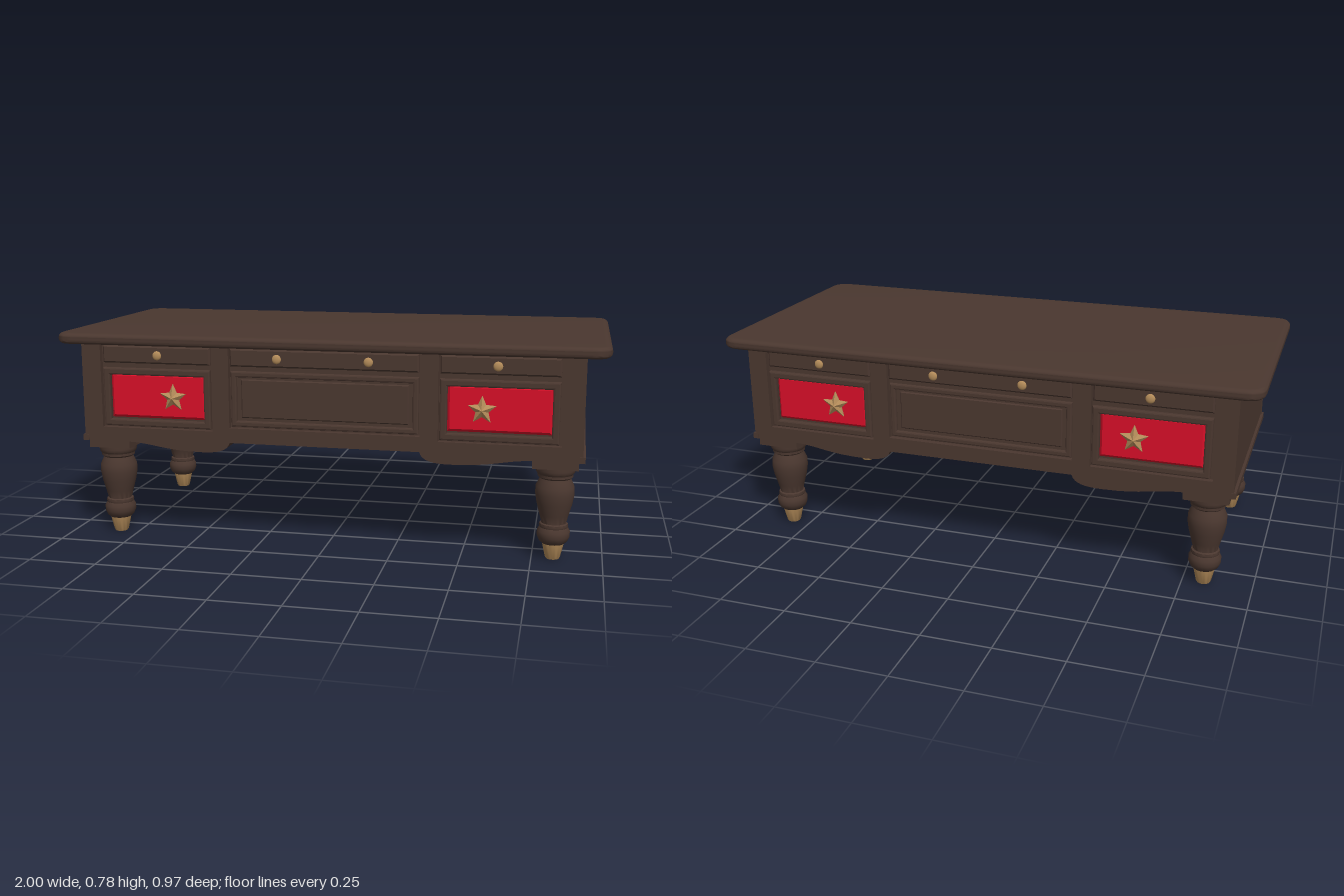
import * as THREE from 'three';
import { toCreasedNormals } from 'three/addons/utils/BufferGeometryUtils.js';

const wood = new THREE.MeshStandardMaterial({ color: 0x4a372f });
wood.name = 'dark wood';
const red = new THREE.MeshStandardMaterial({ color: 0xd80f28 });
red.name = 'red paint';
const brass = new THREE.MeshStandardMaterial({ color: 0xb48c5a });
brass.name = 'brass';

function add(parent, name, geometry, material, x = 0, y = 0, z = 0) {
  const mesh = new THREE.Mesh(geometry, material);
  mesh.name = name;
  mesh.position.set(x, y, z);
  parent.add(mesh);
  return mesh;
}

function rectPath(path, x0, y0, x1, y1) {
  path.moveTo(x0, y0);
  path.lineTo(x1, y0);
  path.lineTo(x1, y1);
  path.lineTo(x0, y1);
  path.closePath();
  return path;
}

function extrude(shape, depth, bevel = 0, segments = 1) {
  return new THREE.ExtrudeGeometry(shape, {
    depth, bevelEnabled: bevel > 0, bevelSize: bevel, bevelThickness: bevel,
    bevelOffset: -bevel, bevelSegments: segments, curveSegments: 8,
  });
}

// Outline seen from the front, with a wavy apron under each pedestal
function bodyShape(w) {
  const s = new THREE.Shape();
  s.moveTo(-w, 0.745);
  s.lineTo(-w, 0.372);
  s.lineTo(-0.74, 0.372);
  s.bezierCurveTo(-0.65, 0.37, -0.61, 0.345, -0.46, 0.345);
  s.bezierCurveTo(-0.4, 0.345, -0.36, 0.352, -0.35, 0.385);
  s.lineTo(0.35, 0.385);
  s.bezierCurveTo(0.36, 0.352, 0.4, 0.345, 0.46, 0.345);
  s.bezierCurveTo(0.61, 0.345, 0.65, 0.37, 0.74, 0.372);
  s.lineTo(w, 0.372);
  s.lineTo(w, 0.745);
  s.closePath();
  return s;
}

// Rectangular moulding with an opening
function ring(x0, y0, x1, y1, t, depth) {
  const s = rectPath(new THREE.Shape(), x0, y0, x1, y1);
  s.holes.push(rectPath(new THREE.Path(), x0 + t, y0 + t, x1 - t, y1 - t));
  return extrude(s, depth, 0.006, 2);
}

// Raised panel with sloping edges
function panel(x0, y0, x1, y1, depth, bevel) {
  return extrude(rectPath(new THREE.Shape(), x0, y0, x1, y1), depth, bevel);
}

// Five-pointed star rising to a central peak
function starGeometry(r, h) {
  const p = [];
  const at = (i) => {
    const a = Math.PI / 2 + (i * Math.PI) / 5;
    const q = i % 2 ? r * 0.46 : r;
    return [Math.cos(a) * q, Math.sin(a) * q];
  };
  for (let i = 0; i < 10; i++) {
    const a = at(i), b = at(i + 1);
    p.push(0, 0, h, ...a, 0.006, ...b, 0.006);
    p.push(...a, 0.006, ...a, 0, ...b, 0, ...a, 0.006, ...b, 0, ...b, 0.006);
  }
  const g = new THREE.BufferGeometry();
  g.setAttribute('position', new THREE.Float32BufferAttribute(p, 3));
  g.computeVertexNormals();
  return g;
}

// Drawers, panels and fittings of one long face
function createFace() {
  const face = new THREE.Group();
  const frame = bodyShape(0.918);
  frame.holes.push(rectPath(new THREE.Path(), -0.845, 0.425, -0.415, 0.735));
  frame.holes.push(rectPath(new THREE.Path(), 0.415, 0.425, 0.845, 0.735));
  frame.holes.push(rectPath(new THREE.Path(), -0.35, 0.44, 0.35, 0.735));
  add(face, 'faceFrame', extrude(frame, 0.022), wood, 0, 0, 0.403);

  for (const s of [-1, 1]) {
    const x0 = s < 0 ? -0.835 : 0.42, x1 = s < 0 ? -0.42 : 0.835;
    add(face, 'drawerMoulding', ring(x0, 0.432, x1, 0.65, 0.026, 0.012), wood, 0, 0, 0.41);
    add(face, 'redDrawerPanel', panel(x0 + 0.024, 0.462, x1 - 0.024, 0.63, 0.004, 0.01), red, 0, 0, 0.4);
    add(face, 'starHandle', starGeometry(0.052, 0.024), brass, s * 0.567, 0.543, 0.413);
    add(face, 'smallDrawer', panel(x0, 0.668, x1, 0.733, 0.01, 0.006), wood, 0, 0, 0.408);
  }

  // Centre section
  add(face, 'centreDrawer', panel(-0.345, 0.668, 0.345, 0.733, 0.01, 0.006), wood, 0, 0, 0.408);
  add(face, 'centreMoulding', ring(-0.345, 0.445, 0.345, 0.65, 0.022, 0.006), wood, 0, 0, 0.405);
  add(face, 'centrePanel', panel(-0.31, 0.475, 0.31, 0.622, 0.002, 0.006), wood, 0, 0, 0.4);

  for (const x of [-0.62, -0.167, 0.167, 0.62]) {
    const knob = add(face, 'drawerKnob', new THREE.SphereGeometry(0.017, 14, 10), brass, x, 0.7, 0.43);
    knob.scale.z = 0.45;
  }
  return face;
}

// Turned leg with a tapered brass foot
function createLeg() {
  const leg = new THREE.Group();
  const profile = [
    [0, 0.055], [0.04, 0.058], [0.051, 0.068], [0.058, 0.085], [0.058, 0.104], [0.05, 0.118],
    [0.052, 0.124], [0.05, 0.131], [0.044, 0.134], [0.052, 0.165], [0.063, 0.205],
    [0.069, 0.24], [0.068, 0.268], [0.058, 0.29], [0.055, 0.298], [0.062, 0.304],
    [0.062, 0.313], [0.068, 0.32], [0.07, 0.33], [0.07, 0.35],
  ].map(([r, y]) => new THREE.Vector2(r, y));
  add(leg, 'turnedLeg', toCreasedNormals(new THREE.LatheGeometry(profile, 32), 0.7), wood);
  const foot = [[0, 0], [0.023, 0], [0.027, 0.006], [0.04, 0.062], [0, 0.062]]
    .map(([r, y]) => new THREE.Vector2(r, y));
  add(leg, 'brassFoot', toCreasedNormals(new THREE.LatheGeometry(foot, 24), 0.7), brass);
  add(leg, 'legBlock', new THREE.BoxGeometry(0.16, 0.034, 0.155), wood, 0, 0.36, 0);
  return leg;
}

export function createModel() {
  const desk = new THREE.Group();
  desk.name = 'desk';

  // Table top with rounded corners and a rounded rim
  const w = 1, d = 0.485, r = 0.07;
  const s = new THREE.Shape();
  s.moveTo(-w + r, -d);
  s.lineTo(w - r, -d);
  s.quadraticCurveTo(w, -d, w, -d + r);
  s.lineTo(w, d - r);
  s.quadraticCurveTo(w, d, w - r, d);
  s.lineTo(-w + r, d);
  s.quadraticCurveTo(-w, d, -w, d - r);
  s.lineTo(-w, -d + r);
  s.quadraticCurveTo(-w, -d, -w + r, -d);
  const top = extrude(s, 0.004, 0.018, 6);
  top.rotateX(-Math.PI / 2);
  add(desk, 'tableTop', toCreasedNormals(top, 0.6), wood, 0, 0.758, 0);

  // Carcass
  add(desk, 'carcass', toCreasedNormals(extrude(bodyShape(0.916), 0.808), 0.6), wood, 0, 0, -0.404);
  for (const x of [-0.915, 0.915]) {
    add(desk, 'sideMoulding', new THREE.BoxGeometry(0.022, 0.022, 0.854), wood, x, 0.382, 0);
  }

  // Matching long faces
  for (const back of [false, true]) {
    const face = createFace();
    face.name = back ? 'backFace' : 'frontFace';
    if (back) face.rotation.y = Math.PI;
    desk.add(face);
  }

  for (const x of [-0.825, 0.825]) {
    for (const z of [-0.342, 0.342]) {
      const leg = createLeg();
      leg.name = (z > 0 ? 'front' : 'back') + (x > 0 ? 'Left' : 'Right') + 'Leg';
      leg.position.set(x, 0, z);
      desk.add(leg);
    }
  }
  return desk;
}
